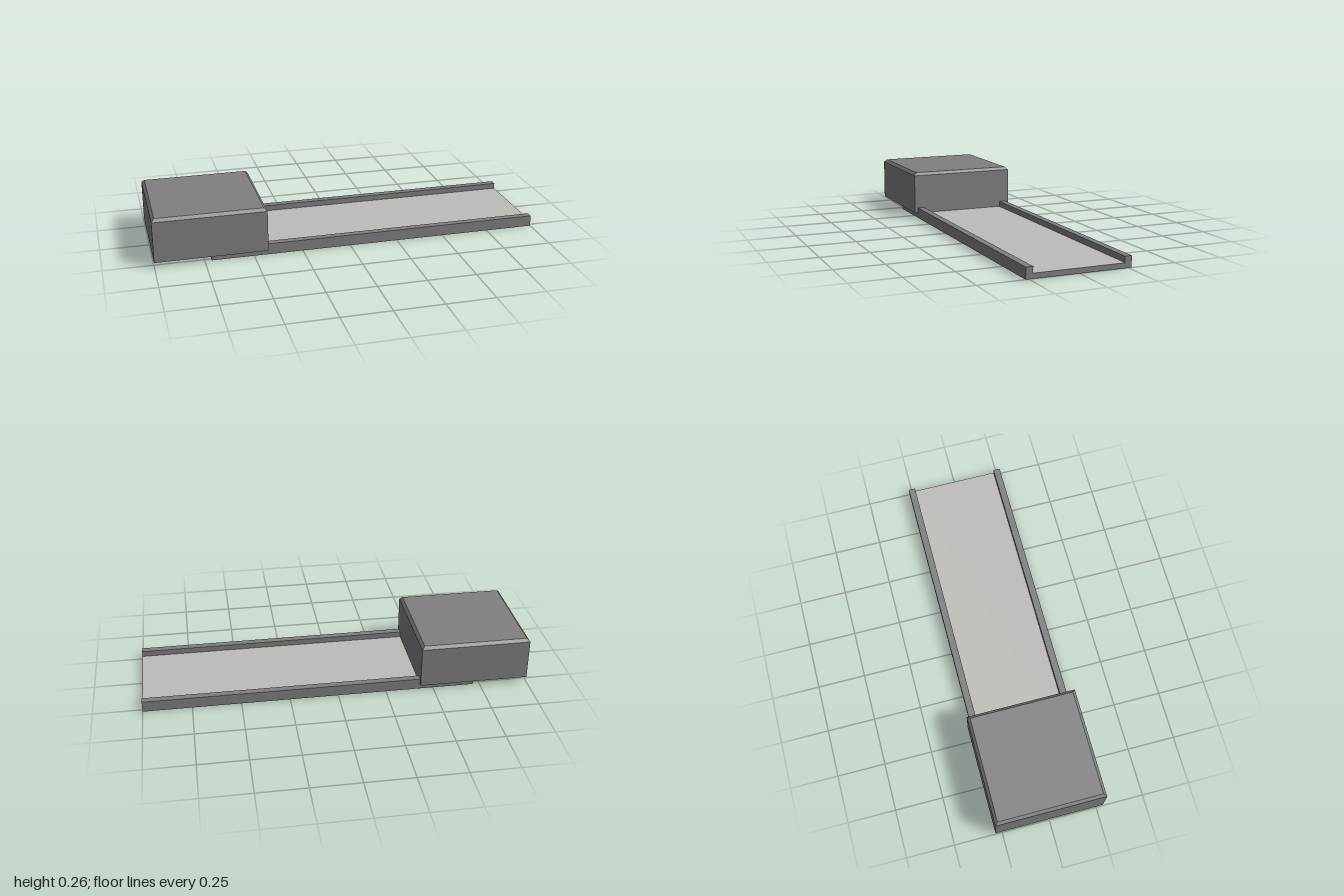
import * as THREE from 'three';

const grey = new THREE.MeshStandardMaterial({ color: 0x808080 });
grey.name = 'grey';
const paleGrey = new THREE.MeshStandardMaterial({ color: 0xbfbdb8 });
paleGrey.name = 'paleGrey';

function addMesh(group, name, geometry, material) {
  const mesh = new THREE.Mesh(geometry, material);
  mesh.name = name;
  group.add(mesh);
  return mesh;
}

// Box standing on y = 0 with a chamfer around its top edges
function chamferedBox(width, height, depth, chamfer) {
  const box = new THREE.BoxGeometry(width, height, depth, 1, 2, 1);
  box.translate(0, height / 2, 0);
  const p = box.attributes.position;
  for (let i = 0; i < p.count; i++) {
    const y = p.getY(i);
    if (y > height * 0.75) {
      p.setX(i, p.getX(i) - Math.sign(p.getX(i)) * chamfer);
      p.setZ(i, p.getZ(i) - Math.sign(p.getZ(i)) * chamfer);
    } else if (y > height * 0.25) {
      p.setY(i, height - chamfer);
    }
  }
  const flat = box.toNonIndexed();
  flat.computeVertexNormals();
  return flat;
}

export function createModel() {
  const model = new THREE.Group();
  model.name = 'conveyorWithHousing';

  const start = -0.715, end = 1, length = end - start;
  const outer = 0.267, inner = 0.231, floorTop = 0.026, railTop = 0.057;

  // Track: U-shaped channel with a raised rail along each side
  const profile = new THREE.Shape([
    [-outer, 0], [outer, 0], [outer, railTop], [inner, railTop],
    [inner, floorTop], [-inner, floorTop], [-inner, railTop], [-outer, railTop],
  ].map(([z, y]) => new THREE.Vector2(z, y)));
  const channel = new THREE.ExtrudeGeometry(profile, { depth: length, bevelEnabled: false });
  channel.rotateY(Math.PI / 2);
  channel.translate(start, 0, 0);
  addMesh(model, 'track', channel, grey);

  // Pale running surface between the rails
  const surface = new THREE.PlaneGeometry(length, inner * 2);
  surface.rotateX(-Math.PI / 2);
  addMesh(model, 'runningSurface', surface, paleGrey)
    .position.set((start + end) / 2, floorTop + 0.001, 0);

  // Housing over the end of the track
  addMesh(model, 'housing', chamferedBox(0.57, 0.228, 0.57, 0.015), grey)
    .position.set(-0.715, 0.028, 0);

  return model;
}
